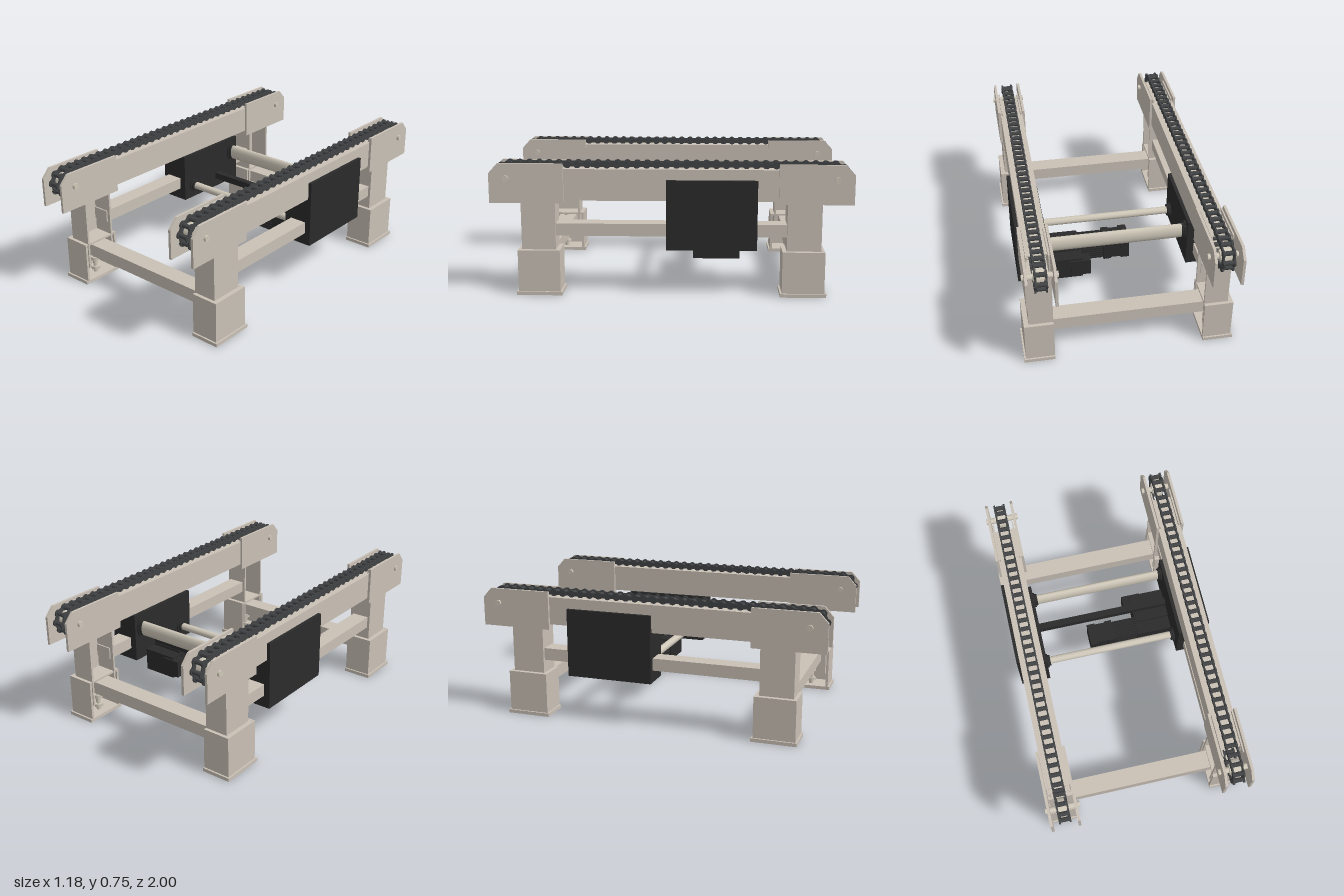
import * as THREE from 'three';

const mat = (name, color) => {
  const m = new THREE.MeshStandardMaterial({ color });
  m.name = name;
  return m;
};

export function createModel() {
  const paint = mat('beige paint', 0xcac1b6);
  const steel = mat('shaft steel', 0xcfc8b9);
  const black = mat('black housing', 0x2b2b2b);
  const chainGrey = mat('chain grey', 0x414345);
  const model = new THREE.Group();

  const add = (parent, name, geo, m) => {
    const mesh = new THREE.Mesh(geo, m);
    mesh.name = name;
    parent.add(mesh);
    return mesh;
  };
  // Box given by its lower and upper limits on each axis
  const box = (parent, name, m, x0, x1, y0, y1, z0, z1) => {
    const g = new THREE.BoxGeometry(Math.abs(x1 - x0), Math.abs(y1 - y0), Math.abs(z1 - z0));
    return add(parent, name, g, m).position.set((x0 + x1) / 2, (y0 + y1) / 2, (z0 + z1) / 2);
  };
  // Cylinder along x, optionally stretched in height
  const rod = (parent, name, m, x0, x1, y, z, r, ry = r, seg = 24) => {
    const g = new THREE.CylinderGeometry(r, r, Math.abs(x1 - x0), seg).rotateZ(Math.PI / 2);
    g.scale(1, ry / r, 1);
    return add(parent, name, g, m).position.set((x0 + x1) / 2, y, z);
  };

  const CX = 0.4875, AXLE_Y = 0.66, AXLE_Z = 0.905, R = 0.068;

  // Chain loop: two straight runs joined by half circles
  const straight = 2 * AXLE_Z, arc = Math.PI * R, total = 2 * (straight + arc);
  const onLoop = (d) => {
    d = ((d % total) + total) % total;
    if (d < straight) return [-AXLE_Z + d, AXLE_Y + R];
    d -= straight;
    if (d < arc) return [AXLE_Z + R * Math.sin(d / R), AXLE_Y + R * Math.cos(d / R)];
    d -= arc;
    if (d < straight) return [AXLE_Z - d, AXLE_Y - R];
    d -= straight;
    return [-AXLE_Z - R * Math.sin(d / R), AXLE_Y - R * Math.cos(d / R)];
  };
  const links = 74;
  const rollerGeo = new THREE.CylinderGeometry(0.013, 0.013, 0.064, 10).rotateZ(Math.PI / 2);
  const discGeo = new THREE.CylinderGeometry(0.021, 0.021, 0.01, 14).rotateZ(Math.PI / 2);
  const barGeo = new THREE.BoxGeometry(0.008, 0.024, total / links);

  const buildChain = (parent, x) => {
    const chain = new THREE.Group();
    chain.name = 'chain';
    parent.add(chain);
    for (let i = 0; i < links; i++) {
      const [z, y] = onLoop((i * total) / links);
      const [z2, y2] = onLoop(((i + 1) * total) / links);
      add(chain, 'roller', rollerGeo, chainGrey).position.set(x, y, z);
      for (const e of [-1, 1]) {
        add(chain, 'linkEnd', discGeo, chainGrey).position.set(x + e * 0.029, y, z);
        const bar = add(chain, 'linkBar', barGeo, chainGrey);
        bar.position.set(x + e * 0.029, (y + y2) / 2, (z + z2) / 2);
        bar.rotation.x = -Math.atan2(y2 - y, z2 - z);
      }
    }
  };

  for (const s of [-1, 1]) {
    const side = new THREE.Group();
    side.name = s > 0 ? 'leftConveyor' : 'rightConveyor';
    model.add(side);
    const X = (v) => s * v;

    // Hollow rail carrying the chain
    box(side, 'railTop', paint, X(0.42), X(0.555), 0.7, 0.708, -0.8, 0.8);
    box(side, 'railBottom', paint, X(0.42), X(0.555), 0.55, 0.558, -0.8, 0.8);
    box(side, 'railInnerWall', paint, X(0.42), X(0.428), 0.558, 0.7, -0.8, 0.8);
    box(side, 'railOuterWall', paint, X(0.547), X(0.555), 0.558, 0.7, -0.8, 0.8);
    box(side, 'sideBrace', paint, X(0.44), X(0.54), 0.33, 0.4, -0.66, 0.66);

    // Drive guard hanging under the rail
    box(side, 'guardBox', black, X(0.4), X(0.575), 0.26, 0.55, -0.475, 0.025);
    box(side, 'guardCover', black, X(0.5555), X(0.575), 0.55, 0.65, -0.475, 0.025);

    buildChain(side, X(CX));

    for (const f of [-1, 1]) {
      const end = new THREE.Group();
      end.name = f > 0 ? 'frontEnd' : 'backEnd';
      side.add(end);
      const Z = (v) => f * v;

      // Chamfered end plates
      const shape = new THREE.Shape([[0.59, 0.52], [1, 0.52], [1, 0.685], [0.95, 0.74], [0.59, 0.74]]
        .map(([z, y]) => new THREE.Vector2(Z(z), y)));
      const plate = new THREE.ExtrudeGeometry(shape, { depth: 0.015, bevelEnabled: false })
        .rotateY(-Math.PI / 2).translate(0.0075, 0, 0);
      for (const px of [0.4125, 0.5635]) add(end, 'endPlate', plate, paint).position.x = X(px);

      // Axle and sprocket
      rod(end, 'axle', steel, X(0.39), X(0.583), AXLE_Y - 0.004, Z(AXLE_Z), 0.017);
      rod(end, 'sprocketHub', steel, X(CX - 0.036), X(CX + 0.036), AXLE_Y, Z(AXLE_Z), 0.03);
      rod(end, 'sprocket', steel, X(CX - 0.018), X(CX + 0.018), AXLE_Y, Z(AXLE_Z), 0.055);
      for (const e of [-1, 1]) {
        box(end, 'chainGuide', paint, X(CX + e * 0.054), X(CX + e * 0.062), 0.708, 0.73, Z(0.6), Z(0.84));
      }

      // Upper leg channel, open to the inside
      box(end, 'upperLegWeb', paint, X(0.543), X(0.555), 0.1, 0.565, Z(0.64), Z(0.83));
      box(end, 'upperLegFlange', paint, X(0.42), X(0.543), 0.1, 0.565, Z(0.818), Z(0.83));
      box(end, 'upperLegFlange', paint, X(0.42), X(0.543), 0.1, 0.565, Z(0.64), Z(0.652));
      // Lower leg channel and foot
      box(end, 'lowerLegWeb', paint, X(0.568), X(0.582), 0.02, 0.255, Z(0.615), Z(0.85));
      box(end, 'lowerLegFlange', paint, X(0.42), X(0.568), 0.02, 0.255, Z(0.836), Z(0.85));
      box(end, 'lowerLegFlange', paint, X(0.42), X(0.568), 0.02, 0.255, Z(0.615), Z(0.629));
      box(end, 'legTopPlate', paint, X(0.422), X(0.568), 0.243, 0.2545, Z(0.629), Z(0.836));
      box(end, 'foot', paint, X(0.42), X(0.592), 0, 0.02, Z(0.605), Z(0.86));
      // Levelling screw
      const screw = new THREE.CylinderGeometry(0.014, 0.014, 0.22, 16);
      add(end, 'levellingScrew', screw, steel).position.set(X(0.48), 0.13, Z(0.735));
      const nut = new THREE.CylinderGeometry(0.028, 0.028, 0.02, 6);
      for (const y of [0.05, 0.11]) add(end, 'levellingNut', nut, steel).position.set(X(0.48), y, Z(0.735));
    }

    // Shaft bearings on the inner face of the guard
    const bearings = [[0.463, -0.42, 0.04, 0.061], [0.34, -0.06, 0.042, 0.044]];
    for (const [y, z, r, ry] of bearings) {
      rod(side, 'bearing', black, X(0.39), X(0.401), y, z, r, ry);
      rod(side, 'bearingCollar', black, X(0.378), X(0.39), y, z, r * 0.8, ry * 0.85);
    }
  }

  // Cross members and shafts
  for (const f of [-1, 1]) box(model, 'crossBeam', paint, -0.543, 0.543, 0.15, 0.225, f * 0.675, f * 0.78);
  rod(model, 'driveShaft', steel, -0.39, 0.39, 0.46, -0.42, 0.024, 0.046, 32);
  rod(model, 'idlerShaft', steel, -0.39, 0.39, 0.34, -0.06, 0.022);
  box(model, 'motorSupport', black, -0.41, 0.41, 0.315, 0.355, -0.305, -0.265);

  // Gear motor
  const motor = new THREE.Group();
  motor.name = 'gearMotor';
  model.add(motor);
  box(motor, 'gearbox', black, 0.19, 0.4, 0.17, 0.303, -0.385, -0.12);
  box(motor, 'gearboxMount', black, 0.2, 0.4, 0.303, 0.316, -0.31, -0.2);
  box(motor, 'gearboxCover', black, 0.145, 0.26, 0.19, 0.29, -0.395, -0.325);
  box(motor, 'motorBody', black, 0.045, 0.19, 0.175, 0.29, -0.24, -0.13);
  for (let i = 0; i < 7; i++) {
    const t = i * 0.0165;
    box(motor, 'coolingFinRow', black, 0.05, 0.19, 0.17, 0.297, -0.238 + t, -0.231 + t);
    box(motor, 'coolingFinRow', black, 0.05, 0.19, 0.179 + t, 0.186 + t, -0.245, -0.125);
  }
  box(motor, 'motorFlange', black, 0, 0.045, 0.165, 0.305, -0.25, -0.12);
  box(motor, 'brakeHousing', black, -0.06, 0, 0.17, 0.3, -0.245, -0.125);
  box(motor, 'motorCap', black, -0.11, -0.06, 0.165, 0.305, -0.25, -0.115);

  return model;
}
